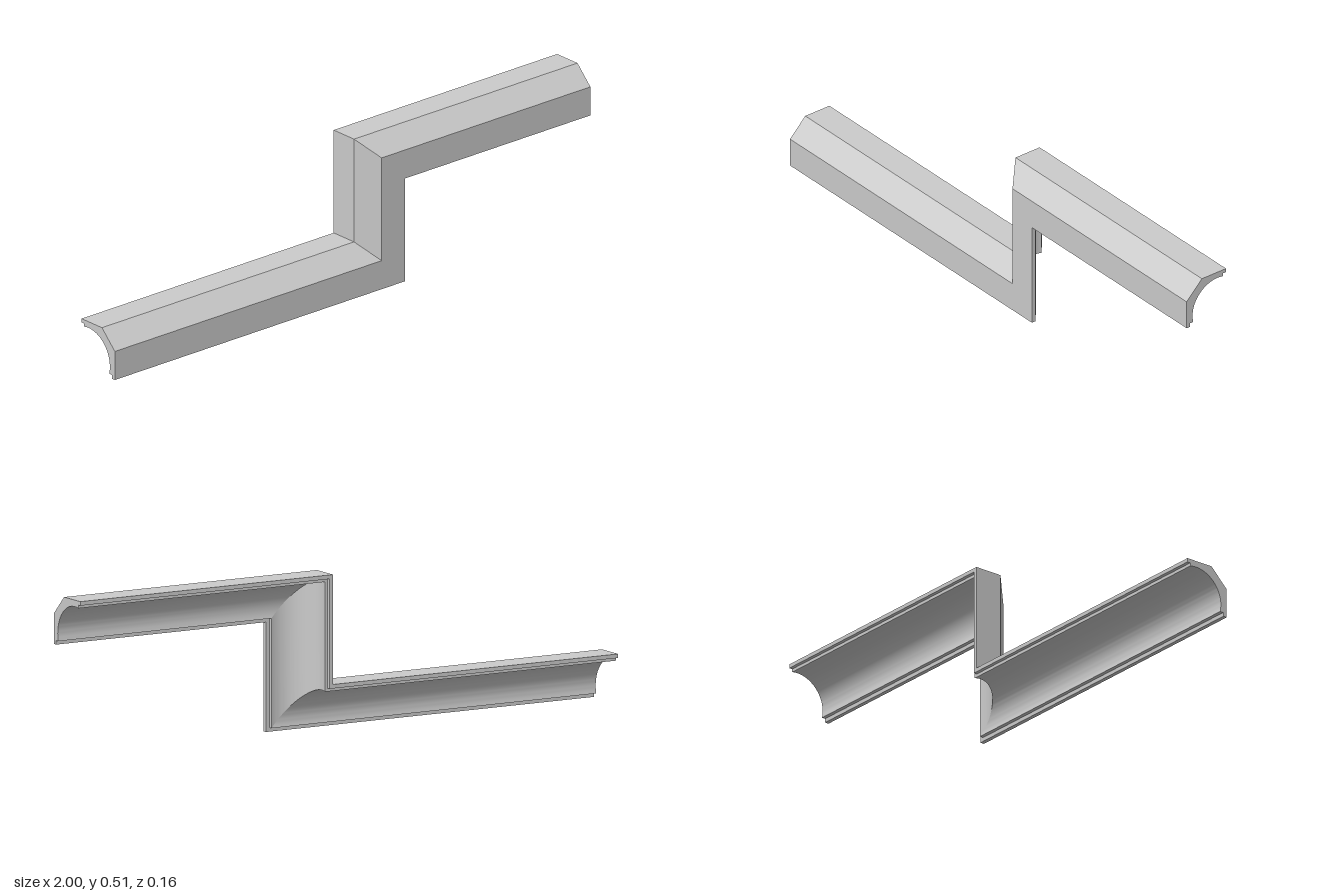
import * as THREE from 'three';
import { toCreasedNormals } from 'three/addons/utils/BufferGeometryUtils.js';

// Moulding cross-section as (z, height), counter-clockwise seen from -x
function mouldingProfile() {
  const pts = [
    [0.08, 0], [0.08, 0.098], [0.018, 0.16], [-0.08, 0.16],
    [-0.08, 0.147], [-0.068, 0.147],
  ].map(([z, n]) => new THREE.Vector2(z, n));
  // Hollow cove on the inside
  const r = 0.102, cz = -0.046, cn = 0.037, steps = 32;
  const from = Math.acos(-0.022 / r), to = Math.asin(-0.024 / r);
  for (let i = 0; i <= steps; i++) {
    const a = from + (to - from) * i / steps;
    pts.push(new THREE.Vector2(cz + r * Math.cos(a), cn + r * Math.sin(a)));
  }
  // Small lip at the lower front edge
  pts.push(new THREE.Vector2(0.066, 0.013), new THREE.Vector2(0.066, 0));
  return pts;
}

export function createModel() {
  const group = new THREE.Group();
  group.name = 'steppedMoulding';
  const material = new THREE.MeshStandardMaterial({ color: 0xcccccc });
  const profile = mouldingProfile();
  const rise = 0.353, corner = 0.22;

  // Square ends and mitred corners: each ring places the profile in space
  const rings = [
    n => [-1, n],
    n => [corner - n, n],
    n => [corner - n, rise + n],
    n => [1, rise + n],
  ].map(place => profile.map(p => new THREE.Vector3(...place(p.y), p.x)));

  const capFaces = THREE.ShapeUtils.triangulateShape(profile, []);

  ['lowerRun', 'riser', 'upperRun'].forEach((name, k) => {
    const r0 = rings[k], r1 = rings[k + 1], verts = [];
    r0.forEach((a0, i) => {
      const j = (i + 1) % r0.length;
      verts.push(a0, r1[i], r1[j], a0, r1[j], r0[j]);
    });
    // End caps only on the free ends
    for (const [a, b, c] of capFaces) {
      if (k === 0) verts.push(r0[a], r0[b], r0[c]);
      if (k === 2) verts.push(r1[a], r1[c], r1[b]);
    }
    const geo = new THREE.BufferGeometry().setFromPoints(verts);
    const mesh = new THREE.Mesh(toCreasedNormals(geo, Math.PI / 7), material);
    mesh.name = name;
    group.add(mesh);
  });
  return group;
}
